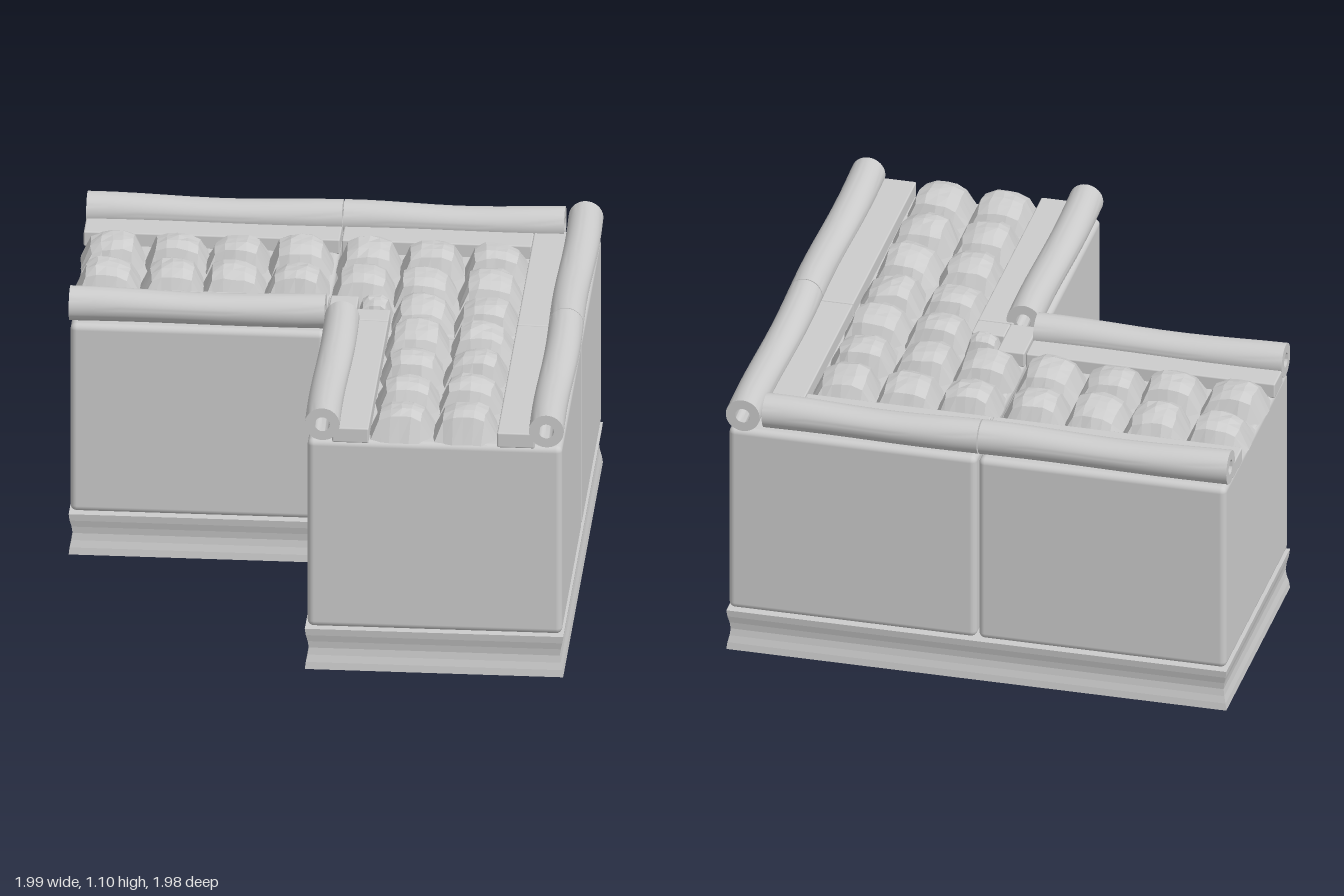
import * as THREE from 'three';
import { RoundedBoxGeometry } from 'three/addons/geometries/RoundedBoxGeometry.js';
import { toCreasedNormals } from 'three/addons/utils/BufferGeometryUtils.js';

const smooth = new THREE.MeshStandardMaterial({ color: 0xcccccc });
const faceted = new THREE.MeshStandardMaterial({ color: 0xcccccc, flatShading: true });

let seed = 7;
const rand = () => (seed = (seed * 16807) % 2147483647) / 2147483647;
const jitter = (a) => (rand() - 0.5) * 2 * a;

// Move every vertex by a rule
function deform(geo, rule) {
  const p = geo.attributes.position;
  const v = new THREE.Vector3();
  for (let i = 0; i < p.count; i++) {
    rule(v.fromBufferAttribute(p, i));
    p.setXYZ(i, v.x, v.y, v.z);
  }
  geo.computeVertexNormals();
  return geo;
}

// Box given by its limits
function block(x0, x1, y0, y1, z0, z1, radius) {
  const geo = new RoundedBoxGeometry(x1 - x0, y1 - y0, z1 - z0, 3, radius);
  return geo.translate((x0 + x1) / 2, (y0 + y1) / 2, (z0 + z1) / 2);
}

// L-shaped plinth, its sides hollowed like a moulding
function plinthGeometry() {
  const corners = [[-0.99, -0.99], [0.99, -0.99], [0.99, 0.985], [-0.005, 0.985], [-0.005, 0.01], [-0.99, 0.01]];
  const shape = new THREE.Shape(corners.map(([x, z]) => new THREE.Vector2(x, -z)));
  const h = 0.17;
  const geo = new THREE.ExtrudeGeometry(shape, { depth: h, steps: 6, bevelEnabled: false });
  geo.rotateX(-Math.PI / 2);
  return deform(geo, (v) => {
    const inset = 0.014 * Math.sin((Math.PI * v.y) / h) ** 2;
    v.x += v.x < 0.1 ? inset : -inset;
    v.z += v.z < -0.5 ? inset : -inset;
  });
}

// Hollow coping roll along z from 0 to length, sagging a little in the middle
function rollGeometry(length) {
  const ring = new THREE.Shape().absarc(0, 0, 0.067, 0, Math.PI * 2, false);
  ring.holes.push(new THREE.Path().absarc(0, 0, 0.029, 0, Math.PI * 2, true));
  const geo = new THREE.ExtrudeGeometry(ring, { depth: length, steps: 10, curveSegments: 20, bevelEnabled: false });
  deform(geo, (v) => {
    const s = Math.sin((Math.PI * v.z) / length) ** 2;
    if (v.y > 0) v.y *= 1 - 0.2 * s;
    v.x += 0.004 * Math.sin((Math.PI * 2 * v.z) / length);
  });
  return toCreasedNormals(geo, 0.7);
}

// Domed, squarish cobble with an uneven surface; its rim sits in the wall top
function cobbleGeometry(w, d, h) {
  const geo = new THREE.PlaneGeometry(2, 2, 6, 6).rotateX(-Math.PI / 2);
  const tiltX = jitter(0.14);
  const tiltZ = jitter(0.14);
  return deform(geo, (v) => {
    const u = v.x;
    const t = v.z;
    const dome = Math.sqrt((1 - Math.abs(u) ** 2.6) * (1 - Math.abs(t) ** 2.6));
    v.y = h * dome * (1 + tiltX * u + tiltZ * t + jitter(0.03));
    v.x = (w / 2) * u * (1 - 0.1 * t * t) + jitter(0.004);
    v.z = (d / 2) * t * (1 - 0.1 * u * u) + jitter(0.004);
  });
}

export function createModel() {
  const model = new THREE.Group();
  const group = (name) => {
    const g = new THREE.Group();
    g.name = name;
    model.add(g);
    return g;
  };
  const add = (parent, name, geo, mat = smooth) => {
    const mesh = new THREE.Mesh(geo, mat);
    mesh.name = name;
    parent.add(mesh);
    return mesh;
  };

  add(model, 'plinth', plinthGeometry(), faceted);

  // Three wall blocks forming the corner
  const walls = group('wallBlocks');
  add(walls, 'leftArmBlock', block(-0.985, -0.004, 0.175, 0.967, -0.98, 0, 0.025));
  add(walls, 'cornerBlock', block(0.004, 0.985, 0.175, 0.967, -0.98, -0.003, 0.025));
  add(walls, 'frontArmBlock', block(0.004, 0.985, 0.175, 0.967, 0.003, 0.98, 0.025));

  // Flat curb slabs between the rolls and the cobbles
  const curbs = group('curbs');
  const slabs = [
    [-0.99, -0.004, -0.88, -0.735], [0.004, 0.735, -0.88, -0.735],
    [0.735, 0.88, -0.88, -0.014], [0.735, 0.88, -0.01, 0.98],
    [-0.99, -0.004, -0.23, -0.1], [0.1, 0.24, -0.01, 0.98],
    [0.002, 0.11, -0.23, -0.014], [0.11, 0.24, -0.115, -0.014],
  ];
  for (const [x0, x1, z0, z1] of slabs) add(curbs, 'curbSlab', block(x0, x1, 0.96, 1.022, z0, z1, 0.006));

  // Coping rolls: along x (start x, z, length) and along z (x, start z, length)
  const rolls = group('copingRolls');
  const alongX = [[-0.99, -0.923, 0.985], [0, -0.923, 0.85], [-0.99, -0.055, 0.985]];
  const alongZ = [[0.925, -0.99, 0.98], [0.925, -0.005, 0.985], [0.062, -0.005, 0.985]];
  for (const [x, z, len] of alongX) {
    const roll = add(rolls, 'copingRoll', rollGeometry(len));
    roll.position.set(x, 1.035, z);
    roll.rotation.y = Math.PI / 2;
  }
  for (const [x, z, len] of alongZ) add(rolls, 'copingRoll', rollGeometry(len)).position.set(x, 1.035, z);

  // Two rows of cobbles along each arm
  const cobbles = group('cobbles');
  const cobble = (x, z, w = 0.25, d = 0.25, h = 0.115) => {
    const mesh = add(cobbles, 'cobble', cobbleGeometry(w, d, h + jitter(0.005)), faceted);
    mesh.position.set(x + jitter(0.006), 0.962, z + jitter(0.006));
    mesh.rotation.y = jitter(0.04);
  };
  for (const x of [-0.865, -0.62, -0.385, -0.14, 0.115, 0.36, 0.61])
    for (const z of [-0.61, -0.36]) cobble(x, z);
  for (const z of [-0.115, 0.115, 0.36, 0.61, 0.85])
    for (const x of [0.365, 0.61]) cobble(x, z);
  cobble(0.18, -0.17, 0.14, 0.13, 0.09);

  return model;
}
